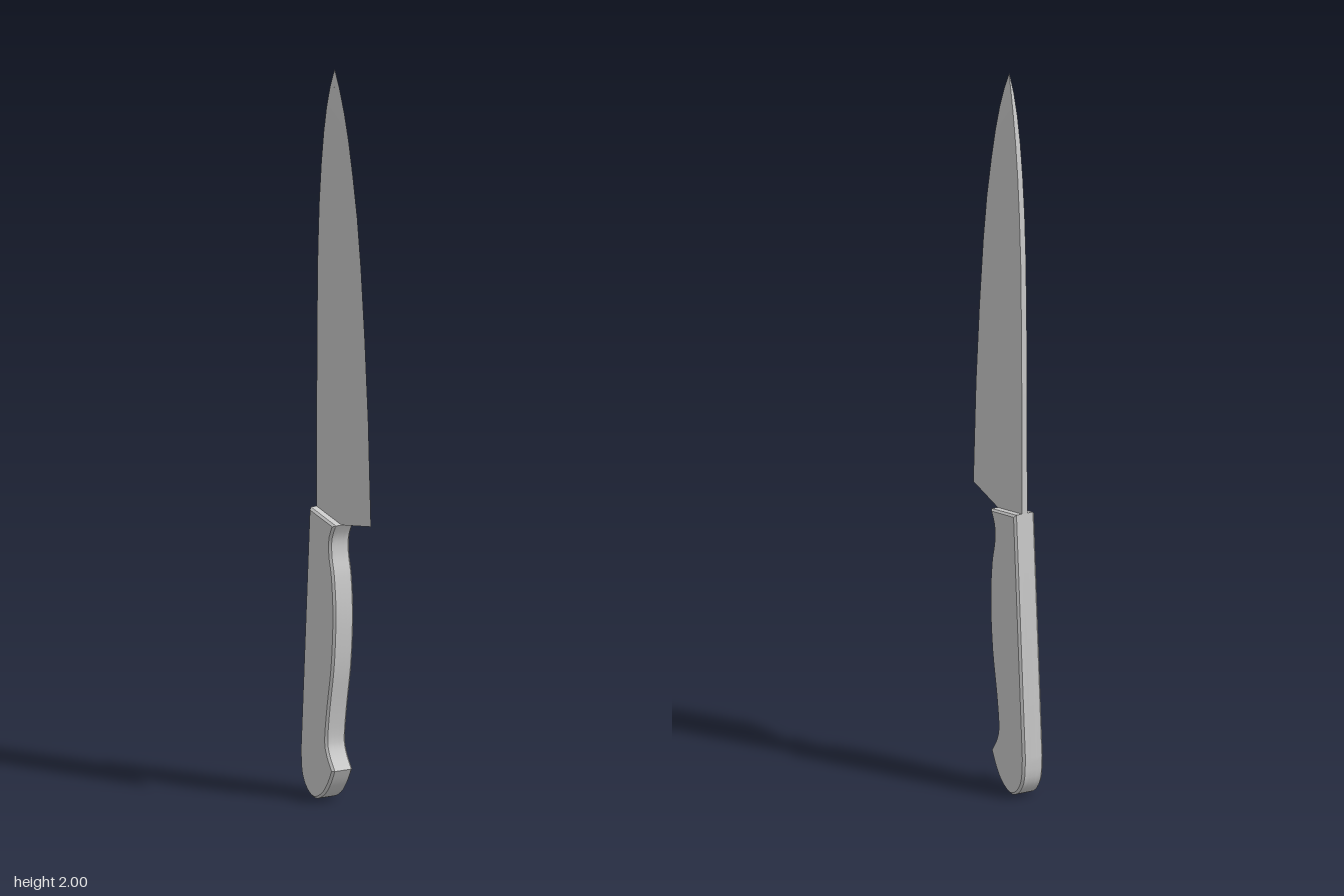
import * as THREE from 'three';
import { toCreasedNormals } from 'three/addons/utils/BufferGeometryUtils.js';

const material = new THREE.MeshStandardMaterial({ color: 0xcccccc });

function addMesh(group, name, geometry) {
  const mesh = new THREE.Mesh(toCreasedNormals(geometry, 0.5), material);
  mesh.name = name;
  group.add(mesh);
}

// Blade sections from heel to tip: [y, cutting edge z, spine z, half thickness]
const bladeSections = [
  [0.79, 0.16, -0.11, 0.008],
  [1.08, 0.146, -0.109, 0.008],
  [1.3, 0.128, -0.107, 0.008],
  [1.49, 0.108, -0.103, 0.008],
  [1.62, 0.089, -0.096, 0.008],
  [1.73, 0.066, -0.086, 0.0075],
  [1.82, 0.044, -0.074, 0.007],
  [1.89, 0.022, -0.061, 0.006],
  [1.95, -0.002, -0.046, 0.004],
  [2, -0.028, -0.029, 0.0005],
];

// Flat next to the spine, then ground down to a sharp edge
function bladeGeometry() {
  const positions = [];
  const index = [];
  const n = 5;
  bladeSections.forEach(([y, edge, spine, t], i) => {
    const mid = THREE.MathUtils.lerp(spine, edge, 0.48);
    const midY = i === 0 ? 0.768 : y;
    const edgeY = i === 0 ? 0.795 : y;
    positions.push(
      t, y, spine, -t, y, spine,
      -t * 0.92, midY, mid, 0, edgeY, edge, t * 0.92, midY, mid,
    );
    if (i === 0) return;
    for (let k = 0; k < n; k++) {
      const a = (i - 1) * n + k;
      const b = (i - 1) * n + (k + 1) % n;
      index.push(a, b, b + n, a, b + n, a + n);
    }
  });
  // Heel and tip caps
  index.push(2, 4, 3, 0, 4, 2, 0, 2, 1);
  const top = (bladeSections.length - 1) * n;
  for (let k = 1; k < n - 1; k++) index.push(top, top + k, top + k + 1);
  const geometry = new THREE.BufferGeometry();
  geometry.setAttribute('position', new THREE.Float32BufferAttribute(positions, 3));
  geometry.setIndex(index);
  return geometry;
}

// Handle outline in (z, y): straight back, rounded butt, finger hook, belly and neck
function handleShape() {
  const points = (list) => list.map(([z, y]) => new THREE.Vector2(z, y));
  const shape = new THREE.Shape();
  shape.moveTo(0.02, 0.768);
  shape.lineTo(-0.11, 0.79);
  shape.lineTo(-0.157, 0.12);
  shape.splineThru(points([
    [-0.151, 0.057], [-0.124, 0.016], [-0.083, 0], [-0.038, 0.021],
    [-0.008, 0.055], [0.015, 0.096],
  ]));
  shape.splineThru(points([
    [-0.012, 0.135], [-0.022, 0.175], [-0.01, 0.265], [0.012, 0.385],
    [0.021, 0.52], [0.013, 0.625], [0, 0.68], [0, 0.727], [0.02, 0.768],
  ]));
  return shape;
}

export function createModel() {
  const group = new THREE.Group();
  group.name = 'kitchenKnife';
  addMesh(group, 'blade', bladeGeometry());

  // Tang running the full length of the handle
  const shape = handleShape();
  const tang = new THREE.ExtrudeGeometry(shape, { depth: 0.016, bevelEnabled: false, curveSegments: 3 });
  tang.translate(0, 0, -0.008).rotateY(-Math.PI / 2);
  addMesh(group, 'tang', tang);

  // Bevelled scales on both sides, their inner bevels sunk into the tang
  const bevel = 0.006;
  for (const [name, side] of [['leftScale', 1], ['rightScale', -1]]) {
    const scale = new THREE.ExtrudeGeometry(shape, {
      depth: 0.017, bevelThickness: bevel, bevelSize: bevel,
      bevelOffset: -bevel, bevelSegments: 1, curveSegments: 3,
    });
    scale.translate(0, 0, -0.0085).rotateY(-Math.PI / 2).translate(side * 0.0165, 0, 0);
    addMesh(group, name, scale);
  }
  return group;
}
